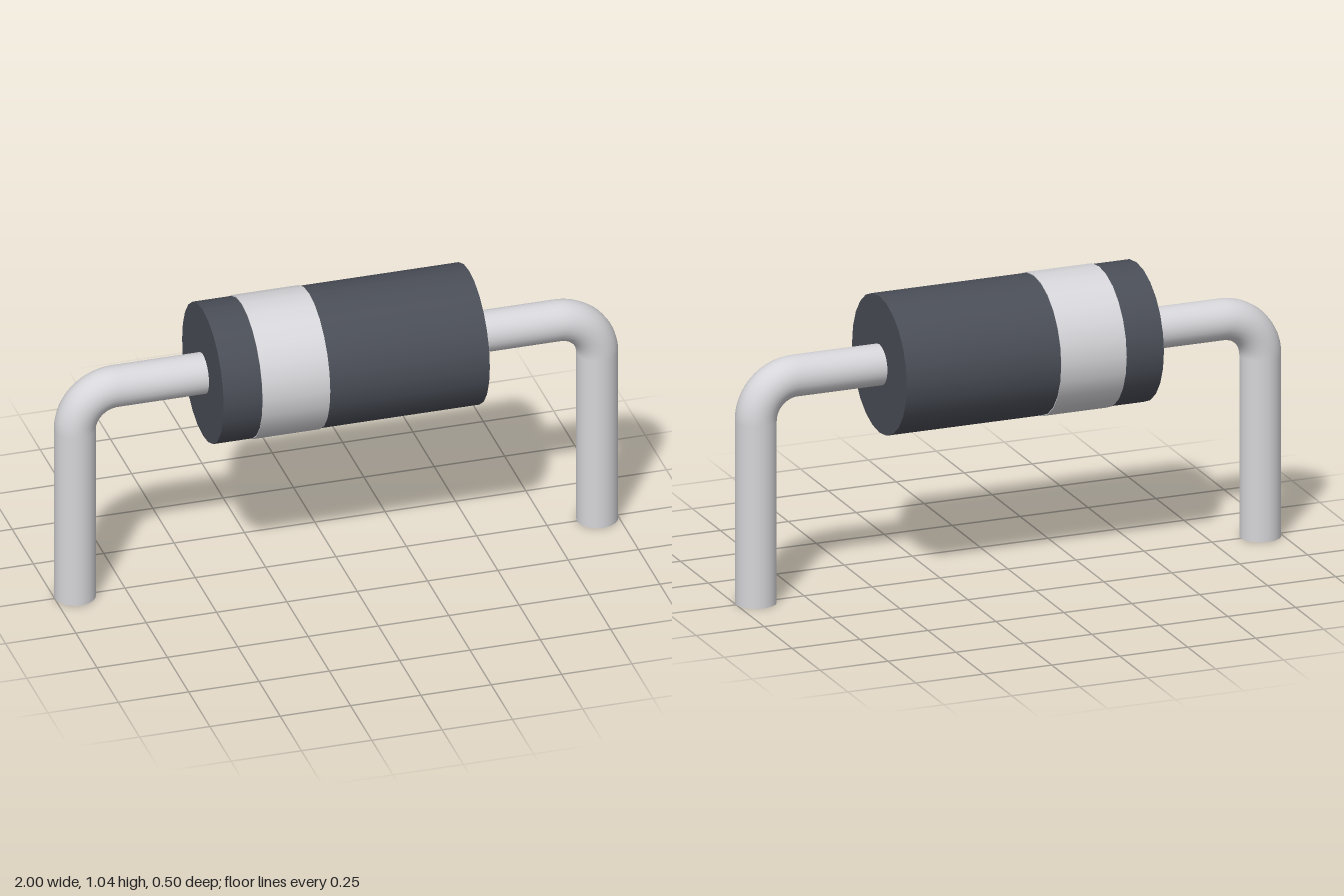
import * as THREE from 'three';

export function createModel() {
  const model = new THREE.Group();
  const casing = new THREE.MeshStandardMaterial({ name: 'dark grey casing', color: 0x4a4e57 });
  const silver = new THREE.MeshStandardMaterial({ name: 'silver metal', color: 0xd6d6da });

  const axisY = 0.796, wireR = 0.072, bendR = 0.143, legX = 1 - wireR;
  const bodyHalf = 0.473;

  function add(parent, name, geometry, material, x, y) {
    const mesh = new THREE.Mesh(geometry, material);
    mesh.name = name;
    mesh.position.set(x, y, 0);
    parent.add(mesh);
  }

  // cylinder lying along x, from x0 to x1
  function lying(parent, name, r, x0, x1, sides, material, open) {
    const g = new THREE.CylinderGeometry(r, r, x1 - x0, sides, 1, open).rotateZ(Math.PI / 2);
    add(parent, name, g, material, (x0 + x1) / 2, axisY);
  }

  // casing and the slightly raised polarity band
  lying(model, 'body', 0.245, -bodyHalf, bodyHalf, 24, casing, false);
  lying(model, 'band', 0.248, -0.335, -0.095, 24, silver, false);

  // bent wire leads, the second turned half round
  for (const [name, turn] of [['leftLead', 0], ['rightLead', Math.PI]]) {
    const lead = new THREE.Group();
    lead.name = name;
    lead.rotation.y = turn;
    const cx = legX - bendR, cy = axisY - bendR;
    lying(lead, 'leadArm', wireR, bodyHalf - 0.02, cx, 24, silver, true);
    add(lead, 'leadBend', new THREE.TorusGeometry(bendR, wireR, 24, 16, Math.PI / 2), silver, cx, cy);
    add(lead, 'leadLeg', new THREE.CylinderGeometry(wireR, wireR, cy, 24), silver, legX, cy / 2);
    model.add(lead);
  }
  return model;
}
